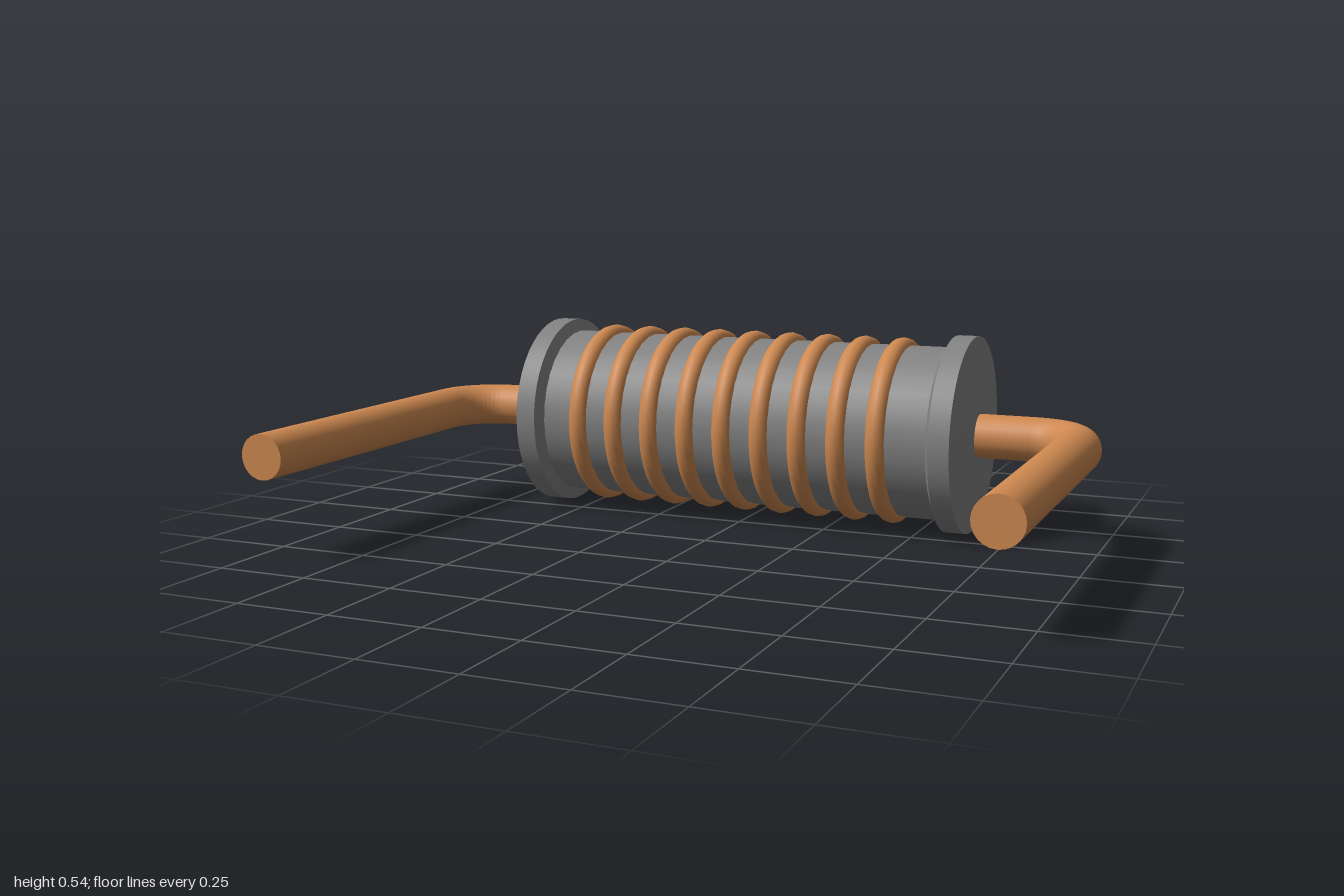
import * as THREE from 'three';

const AXIS_Y = 0.27, AXIS_Z = -0.38;

export function createModel() {
  const model = new THREE.Group();
  const copper = new THREE.MeshStandardMaterial({ color: 0xcd8850 });
  const ceramic = new THREE.MeshStandardMaterial({ color: 0x828282 });

  const add = (name, geometry, material) => {
    const mesh = new THREE.Mesh(geometry, material);
    mesh.name = name;
    mesh.position.set(0, AXIS_Y, AXIS_Z);
    model.add(mesh);
    return mesh;
  };

  // Core: plain cylinder lying along x
  add('core', new THREE.CylinderGeometry(0.237, 0.237, 1.14, 32, 1, true).rotateZ(Math.PI / 2), ceramic);

  // End caps: slightly domed outside, chamfered inside; separate lathes keep the edges sharp
  const capBands = [
    [[0.23, 0.56], [0.27, 0.578]],
    [[0.27, 0.578], [0.27, 0.635]],
    [[0.27, 0.635], [0.2, 0.644], [0.11, 0.65], [0, 0.65]],
  ];
  for (const side of [1, -1]) {
    const cap = new THREE.Group();
    cap.name = side > 0 ? 'leftEndCap' : 'rightEndCap';
    for (const band of capBands) {
      const points = band.map(([r, h]) => new THREE.Vector2(r, h));
      const mesh = add('endCapSurface', new THREE.LatheGeometry(points, 48), ceramic);
      mesh.rotation.z = -side * Math.PI / 2;
      cap.add(mesh);
    }
    model.add(cap);
  }

  // Winding: nine separate wire turns
  const turn = new THREE.TorusGeometry(0.23, 0.028, 12, 48).rotateY(Math.PI / 2);
  for (let i = 0; i < 9; i++) {
    add('windingTurn', turn, copper).position.x = -0.455 + i * 0.11;
  }

  // Leads: out along x, quarter bend, then straight to the front
  const bend = 0.14, reach = 0.94, wire = 0.06, tip = 0.65 - AXIS_Z;
  for (const side of [1, -1]) {
    const lead = new THREE.Group();
    lead.name = side > 0 ? 'leftLead' : 'rightLead';

    const path = [new THREE.Vector3(side * 0.6, 0, 0)];
    for (let i = 0; i <= 10; i++) {
      const a = (i / 10) * Math.PI / 2;
      path.push(new THREE.Vector3(
        side * (reach - bend + bend * Math.sin(a)), 0, bend * (1 - Math.cos(a))));
    }
    path.push(new THREE.Vector3(side * reach, 0, tip));
    const curve = new THREE.CurvePath();
    for (let i = 1; i < path.length; i++) curve.add(new THREE.LineCurve3(path[i - 1], path[i]));

    lead.add(add('leadWire', new THREE.TubeGeometry(curve, 120, wire, 24), copper));
    const end = add('leadTip', new THREE.CircleGeometry(wire, 24), copper);
    end.position.set(side * reach, AXIS_Y, 0.65);
    lead.add(end);
    model.add(lead);
  }

  return model;
}
